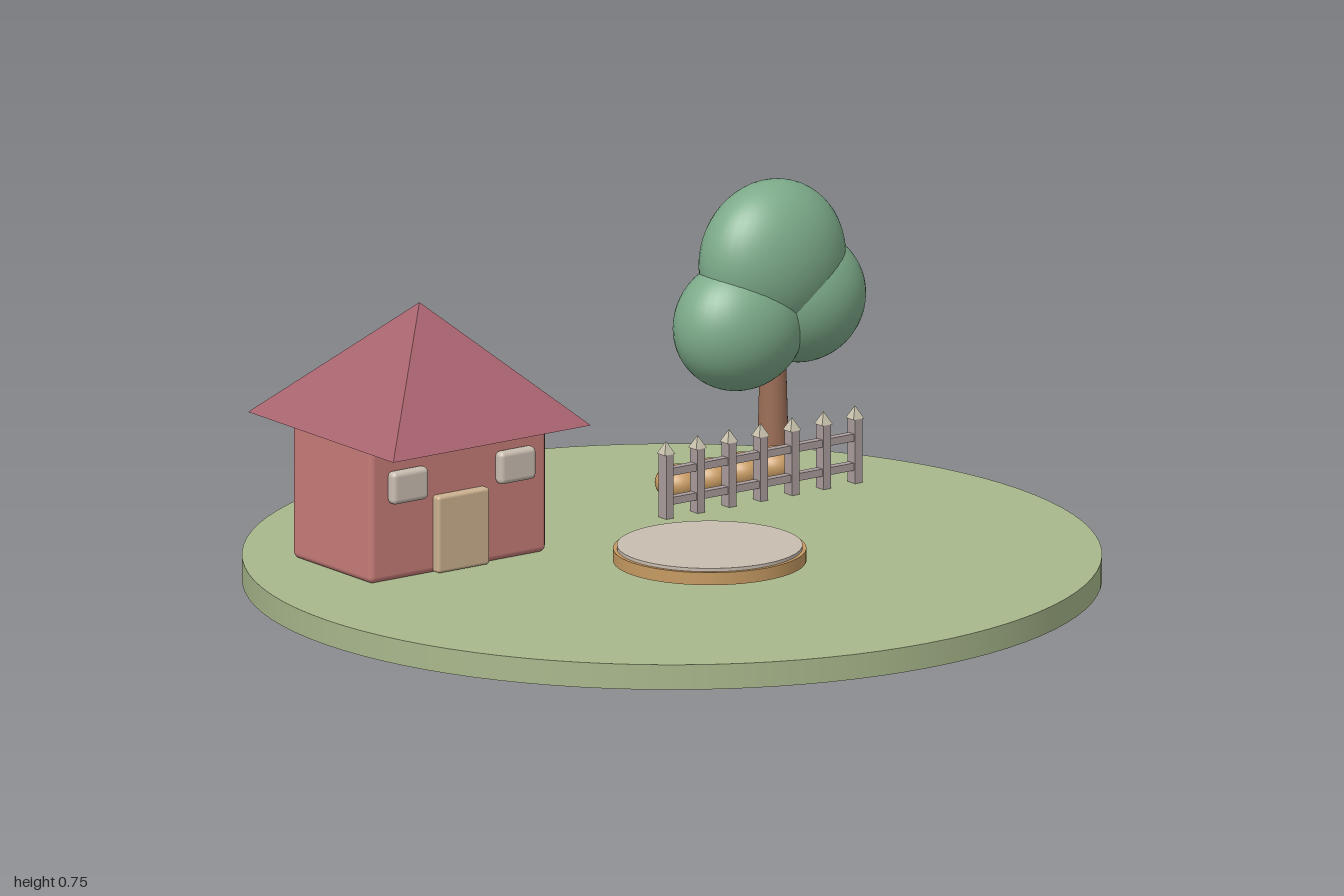
import * as THREE from 'three';
import { RoundedBoxGeometry } from 'three/addons/geometries/RoundedBoxGeometry.js';

export function createModel() {
  const model = new THREE.Group();
  model.name = 'gardenIsland';

  const material = (name, color) => {
    const m = new THREE.MeshStandardMaterial({ color });
    m.name = name;
    return m;
  };
  const grass = material('grass green', 0xa9b88c);
  const wall = material('brick pink', 0xc67c78);
  const roofRed = material('roof rose', 0xa8636f);
  const doorTan = material('door tan', 0xcbb18f);
  const stone = material('pale stone', 0xc9bdb0);
  const wood = material('golden wood', 0xc69a62);
  const leaf = material('leaf green', 0x7dab8a);
  const bark = material('bark brown', 0x9c6e57);
  const rail = material('fence grey', 0xaa9c9c);
  const tipCream = material('post tip cream', 0xc9c3ae);

  const add = (parent, name, geometry, mat, x, y, z) => {
    const mesh = new THREE.Mesh(geometry, mat);
    mesh.name = name;
    mesh.position.set(x, y, z);
    parent.add(mesh);
    return mesh;
  };
  const group = (name) => {
    const g = new THREE.Group();
    g.name = name;
    model.add(g);
    return g;
  };
  // Square pyramid with sides parallel to the axes
  const pyramid = (side, height) => {
    const g = new THREE.ConeGeometry(side / Math.SQRT2, height, 4, 1).rotateY(Math.PI / 4).toNonIndexed();
    g.computeVertexNormals();
    return g;
  };
  const ellipsoid = (rx, ry, rz) => new THREE.SphereGeometry(1, 40, 28).scale(rx, ry, rz);

  // Round lawn
  add(model, 'lawn', new THREE.CylinderGeometry(1, 1, 0.06, 96), grass, 0, 0.03, 0);

  // House
  const house = group('house');
  const hx = -0.475;
  const hz = -0.345;
  add(house, 'walls', new RoundedBoxGeometry(0.51, 0.33, 0.31, 3, 0.015), wall, hx, 0.225, hz);
  add(house, 'roof', pyramid(0.57, 0.28), roofRed, hx, 0.527, hz);
  add(house, 'door', new RoundedBoxGeometry(0.15, 0.185, 0.03, 3, 0.008), doorTan, hx, 0.155, -0.183);
  for (const side of [-1, 1]) {
    add(house, 'window', new RoundedBoxGeometry(0.104, 0.078, 0.03, 3, 0.012), stone, hx + side * 0.155, 0.287, -0.179);
  }

  // Round platform
  const platform = group('platform');
  add(platform, 'platformRim', new THREE.CylinderGeometry(0.225, 0.225, 0.03, 64), wood, 0, 0.092, 0.148);
  add(platform, 'platformTop', new THREE.CylinderGeometry(0.216, 0.216, 0.012, 64), stone, 0, 0.109, 0.148);

  // Picket fence
  const fence = group('fence');
  const fz = -0.275;
  for (let i = 0; i < 7; i++) {
    const x = 0.185 + i * 0.0908;
    add(fence, 'post', new THREE.BoxGeometry(0.021, 0.155, 0.03), rail, x, 0.1375, fz);
    add(fence, 'postTip', pyramid(0.031, 0.03), tipCream, x, 0.229, fz);
  }
  for (const y of [0.1, 0.17]) {
    add(fence, 'rail', new THREE.BoxGeometry(0.55, 0.018, 0.02), rail, 0.4575, y, fz);
  }

  // Row of round crops
  const crops = group('crops');
  for (let i = 0; i < 4; i++) {
    add(crops, 'crop', ellipsoid(0.055, 0.042, 0.055), wood, 0.305 + i * 0.0917, 0.102, -0.39);
  }

  // Tree with three flattened leaf clumps
  const tree = group('tree');
  add(tree, 'trunk', new THREE.CylinderGeometry(0.028, 0.038, 0.36, 24), bark, 0.655, 0.24, -0.495);
  const clumps = [
    [0.655, 0.56, 0.19, 0.19],
    [0.56, 0.418, 0.167, 0.156],
    [0.738, 0.458, 0.162, 0.155],
  ];
  for (const [x, y, rx, ry] of clumps) {
    add(tree, 'foliage', ellipsoid(rx, ry, 0.13), leaf, x, y, -0.498);
  }

  return model;
}
